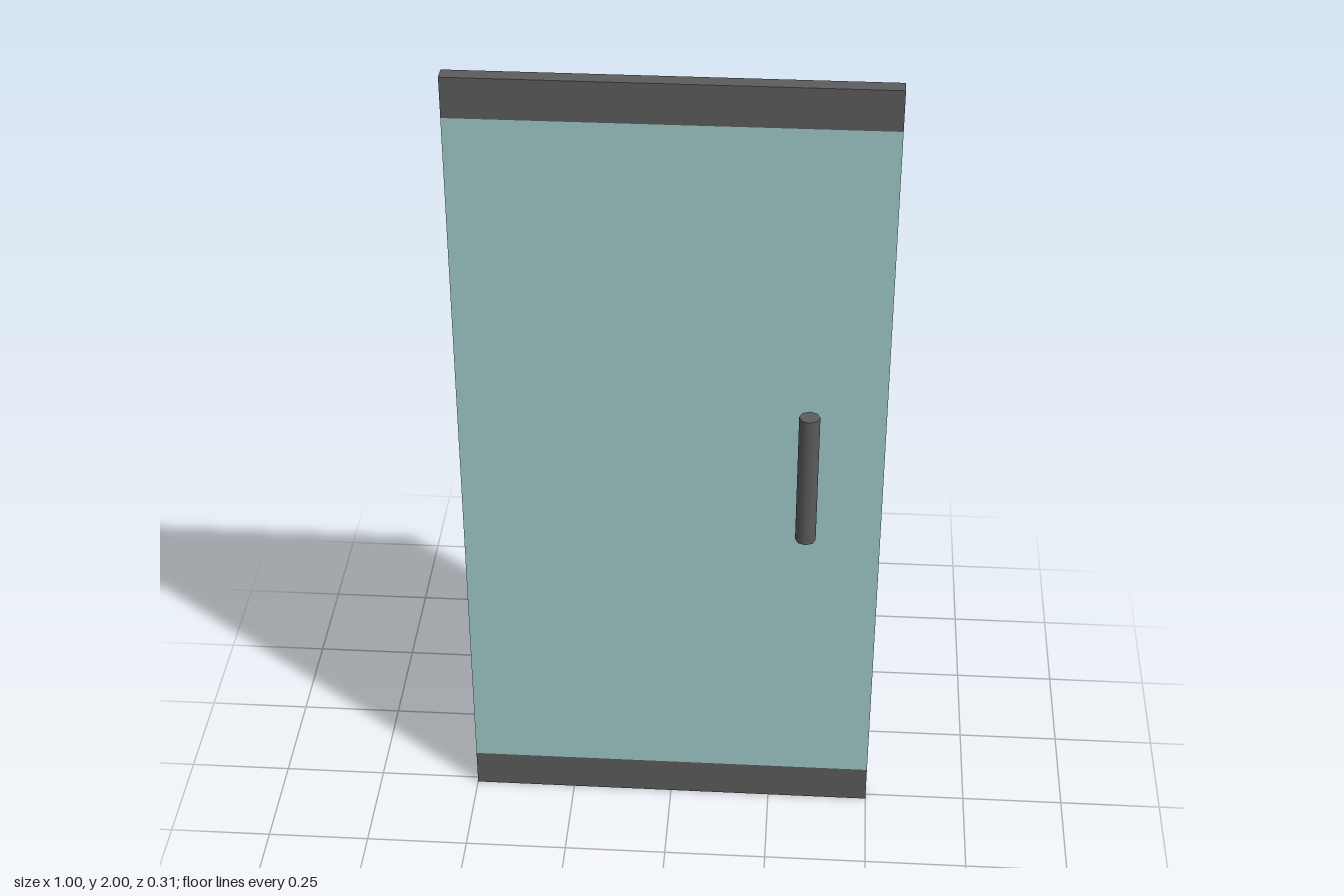
import * as THREE from 'three';

export function createModel() {
  const door = new THREE.Group();
  door.name = 'glassDoor';

  const glass = new THREE.MeshStandardMaterial({ color: 0x9fcac9 });
  glass.name = 'paleTealGlass';
  const metal = new THREE.MeshStandardMaterial({ color: 0x5c5c5c });
  metal.name = 'darkGreyMetal';

  const width = 1, depth = 0.038, railHeight = 0.097, panelZ = -0.002;

  const add = (parent, name, geometry, material, x, y, z) => {
    const mesh = new THREE.Mesh(geometry, material);
    mesh.name = name;
    mesh.position.set(x, y, z);
    parent.add(mesh);
    return mesh;
  };

  // Glass pane between the bottom and top rails
  add(door, 'glassPane', new THREE.BoxGeometry(width, 2 - 2 * railHeight, depth), glass, 0, 1, panelZ);
  const rail = new THREE.BoxGeometry(width, railHeight, depth);
  add(door, 'bottomRail', rail, metal, 0, railHeight / 2, panelZ);
  add(door, 'topRail', rail, metal, 0, 2 - railHeight / 2, panelZ);

  // Pull handles on both faces: an upright bar on two short posts
  const bar = new THREE.CylinderGeometry(0.024, 0.024, 0.34, 8);
  const post = new THREE.CylinderGeometry(0.017, 0.017, 0.13, 8).rotateX(Math.PI / 2);
  for (const side of [1, -1]) {
    const handle = new THREE.Group();
    handle.name = side > 0 ? 'frontHandle' : 'backHandle';
    handle.position.x = 0.322;
    add(handle, 'handleBar', bar, metal, 0, 1.068, side * 0.131);
    for (const y of [0.972, 1.152]) add(handle, 'handlePost', post, metal, 0, y, side * 0.066);
    door.add(handle);
  }

  return door;
}
